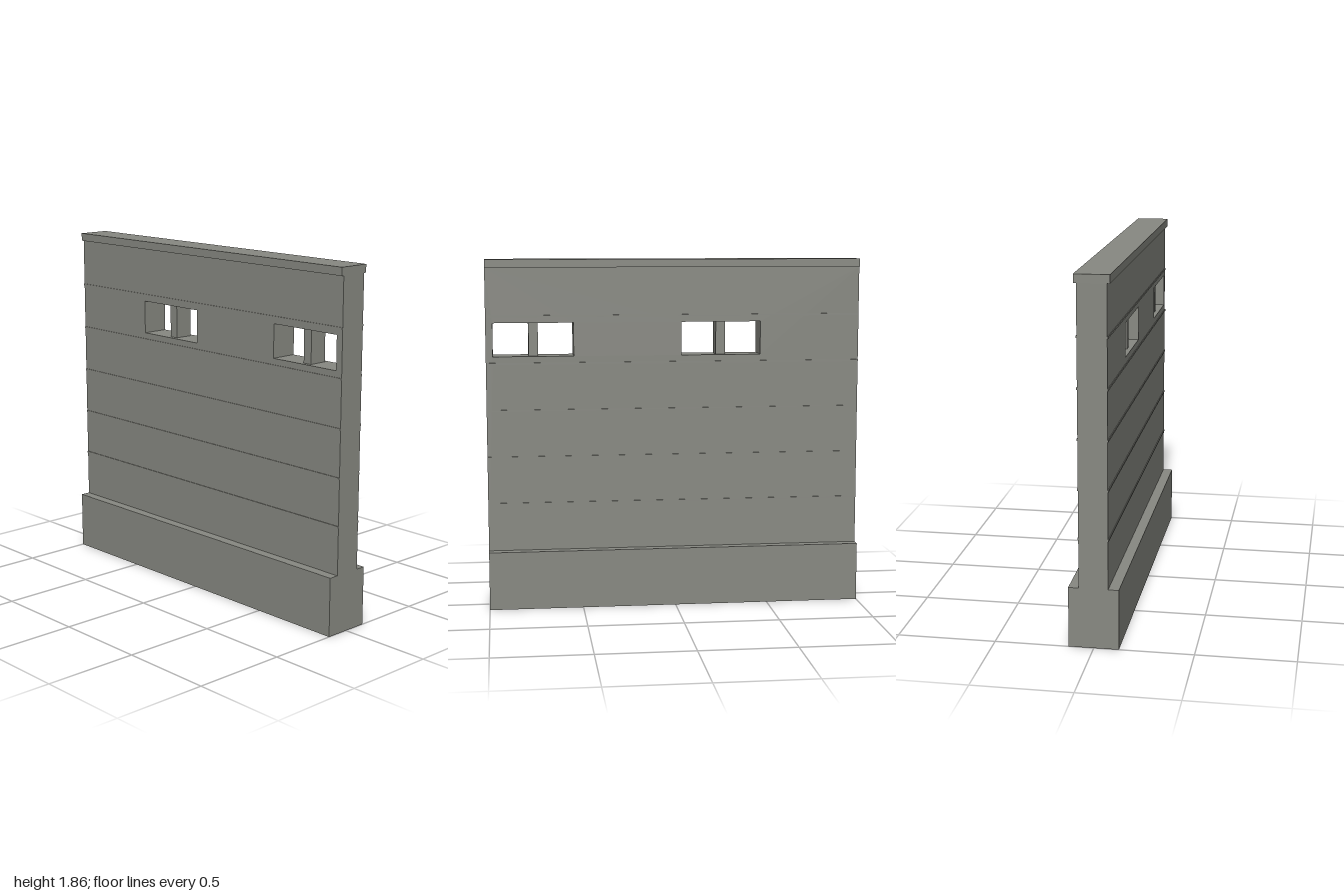
import * as THREE from 'three';

export function createModel() {
  const group = new THREE.Group();
  const concrete = new THREE.MeshStandardMaterial({ color: 0x888982 });
  concrete.name = 'grey concrete';

  const add = (name, geometry, x, y, z) => {
    const mesh = new THREE.Mesh(geometry, concrete);
    mesh.name = name;
    mesh.position.set(x, y, z);
    group.add(mesh);
    return mesh;
  };

  const WIDTH = 2, BASE_TOP = 0.312, WALL_TOP = 1.82, TOP = 1.862;
  const HALF_WALL = 0.073;
  const SLOT_BOTTOM = 1.353, SLOT_TOP = 1.53, SLOT_HALF = 0.213;
  const slotCentres = [-0.25, 0.75];

  // Wide footing and overhanging coping
  add('footing', new THREE.BoxGeometry(WIDTH, BASE_TOP, 0.252), 0, BASE_TOP / 2, 0);
  add('coping', new THREE.BoxGeometry(WIDTH, TOP - WALL_TOP, 0.174), 0, (TOP + WALL_TOP) / 2, 0);

  // Wall slab with two window slots
  const rectangle = (path, x0, y0, x1, y1) =>
    path.moveTo(x0, y0).lineTo(x1, y0).lineTo(x1, y1).lineTo(x0, y1).closePath();
  const outline = rectangle(new THREE.Shape(), -WIDTH / 2, BASE_TOP, WIDTH / 2, WALL_TOP);
  for (const x of slotCentres) {
    outline.holes.push(rectangle(new THREE.Path(), x - SLOT_HALF, SLOT_BOTTOM, x + SLOT_HALF, SLOT_TOP));
  }
  const slab = new THREE.ExtrudeGeometry(outline, { depth: HALF_WALL * 2, bevelEnabled: false });
  add('wallSlab', slab, 0, 0, -HALF_WALL);

  // Recessed post in the middle of each slot
  for (const x of slotCentres) {
    const post = new THREE.BoxGeometry(0.05, SLOT_TOP - SLOT_BOTTOM, 0.1);
    add('slotPost', post, x, (SLOT_TOP + SLOT_BOTTOM) / 2, 0);
  }

  // Thin raised seams across both faces
  for (let i = 0; i < 5; i++) {
    for (const side of [1, -1]) {
      const seam = new THREE.BoxGeometry(WIDTH, 0.01, 0.008);
      add('panelSeam', seam, 0, 0.565 + i * 0.25, side * HALF_WALL);
    }
  }

  return group;
}
